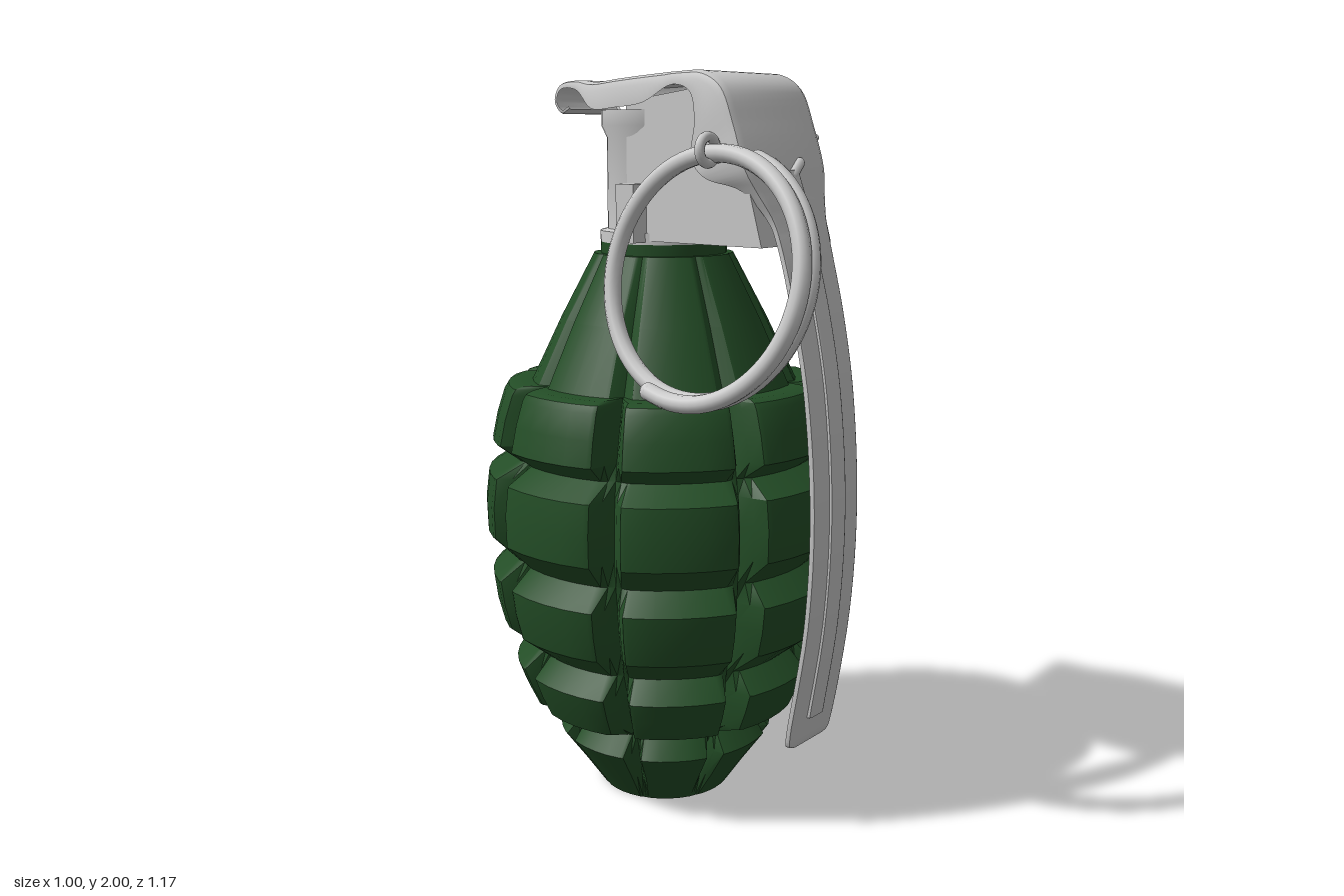
import * as THREE from 'three';
import { toCreasedNormals } from 'three/addons/utils/BufferGeometryUtils.js';

const CZ = -0.083; // z of the body axis
const green = new THREE.MeshStandardMaterial({ color: 0x234d26 });
const grey = new THREE.MeshStandardMaterial({ color: 0xcccccc });
const greySheet = new THREE.MeshStandardMaterial({ color: 0xcccccc, side: THREE.DoubleSide });

// Surface through rows of points, all rows having the same length
function skin(rows, crease) {
  const n = rows[0].length, index = [];
  for (let i = 0; i < rows.length - 1; i++)
    for (let j = 0; j < n - 1; j++) {
      const a = i * n + j, b = a + n;
      index.push(a, b, a + 1, b, b + 1, a + 1);
    }
  const geo = new THREE.BufferGeometry();
  geo.setAttribute('position', new THREE.Float32BufferAttribute(rows.flat(2), 3));
  geo.setIndex(index);
  return toCreasedNormals(geo, crease);
}

// Body: a lathe-like grid whose radius swaps between block and groove
function bodyGeometry() {
  // [y, block radius, groove radius], top to bottom
  const profile = [
    [1.565, 0, 0], [1.565, 0.172, 0.172], [1.535, 0.172, 0.172], [1.535, 0.19, 0.18],
    [1.36, 0.283, 0.262], [1.19, 0.365, 0.335],
    [1.19, 0.41, 0.345], [1.182, 0.432, 0.347], [1.165, 0.443, 0.352], [1.1, 0.464, 0.375], [1.03, 0.479, 0.395],
    [0.985, 0.42, 0.405], [0.94, 0.492, 0.413], [0.86, 0.502, 0.42], [0.775, 0.5, 0.422],
    [0.705, 0.43, 0.415], [0.65, 0.489, 0.405], [0.58, 0.48, 0.395], [0.51, 0.462, 0.378],
    [0.44, 0.375, 0.36], [0.385, 0.428, 0.338], [0.33, 0.408, 0.312], [0.27, 0.38, 0.283],
    [0.225, 0.265, 0.258], [0.17, 0.306, 0.24], [0.085, 0.245, 0.215], [0, 0.187, 0.185], [0, 0, 0]];
  // [angle within a sector, share of block height]
  const sector = [[-22.5, 0], [-20, 0.5], [-17.5, 0.96], [-16, 1], [-8, 1], [0, 1], [8, 1], [16, 1], [17.5, 0.96], [20, 0.5]];
  const ring = [];
  for (let k = 0; k < 8; k++) for (const [a, m] of sector) ring.push([a + k * 45, m]);
  ring.push([337.5, 0]);
  return skin(profile.map(([y, block, groove]) => ring.map(([deg, m]) => {
    const r = groove + (block - groove) * m, t = THREE.MathUtils.degToRad(deg);
    return [r * Math.sin(t), y, r * Math.cos(t)];
  })), 0.5);
}

// Bent sheet with side flanges; stations are [z, y, half width, flange z, flange y]
function bentSheet(stations, steps) {
  const top = new THREE.CatmullRomCurve3(stations.map(([z, y, w]) => new THREE.Vector3(w, y, z)));
  const edge = new THREE.CatmullRomCurve3(stations.map(s => new THREE.Vector3(0, s[4], s[3])));
  const rows = [];
  for (let i = 0; i <= steps; i++) {
    const p = top.getPoint(i / steps), e = edge.getPoint(i / steps), w = p.x;
    const len = Math.max(1e-4, Math.hypot(e.y - p.y, e.z - p.z)), k = Math.min(0.025, len * 0.6);
    const at = (x, d) => [x, p.y + (e.y - p.y) * d / len, p.z + (e.z - p.z) * d / len];
    const half = [[w, len], [w, k], [w - 0.3 * k, 0.3 * k], [w - k, 0]];
    rows.push([...half.map(([x, d]) => at(-x, d)), ...half.reverse().map(([x, d]) => at(x, d))]);
  }
  return skin(rows, 0.7);
}

function tube(points, radius, segments) {
  const path = new THREE.CatmullRomCurve3(points.map(p => new THREE.Vector3(...p)));
  return new THREE.TubeGeometry(path, segments, radius, 10);
}

export function createModel() {
  const model = new THREE.Group();
  const add = (name, geo, mat = grey, x = 0, y = 0, z = 0) => {
    const mesh = new THREE.Mesh(geo, mat);
    mesh.name = name;
    mesh.position.set(x, y, z);
    model.add(mesh);
    return mesh;
  };

  add('body', bodyGeometry(), green, 0, 0, CZ);

  // Neck with collar at the bottom and a small flare at the top
  const neck = [[0, 1.565], [0.172, 1.565], [0.172, 1.595], [0.152, 1.6], [0.152, 1.84], [0.166, 1.87], [0.166, 1.91], [0, 1.91]]
    .map(p => new THREE.Vector2(...p));
  add('neck', toCreasedNormals(new THREE.LatheGeometry(neck, 48), 0.6), grey, 0, 0, CZ);

  // Housing block in front of the neck, under the lever cover
  const side = new THREE.Shape([[-0.08, 1.575], [0.36, 1.575], [0.31, 1.75], [0.26, 1.9], [0.19, 1.965], [-0.08, 1.93]]
    .map(p => new THREE.Vector2(...p)));
  const housing = new THREE.ExtrudeGeometry(side, { depth: 0.304, bevelEnabled: false });
  housing.rotateY(-Math.PI / 2).translate(0.152, 0, 0);
  add('housing', housing);

  // Safety lever: rear curl, cover with flanges, then the long front strip
  const strip = [[0.39, 1.58, 0.11], [0.438, 1.4, 0.107], [0.476, 1.2, 0.104], [0.499, 0.9, 0.102], [0.486, 0.6, 0.101], [0.435, 0.285, 0.1], [0.43, 0.255, 0.092], [0.428, 0.247, 0.075]]
    .map(([z, y, w]) => [z, y, w, z - 0.014, y]);
  add('lever', bentSheet([
    [-0.315, 1.915, 0.12, -0.318, 1.922], [-0.345, 1.902, 0.122, -0.341, 1.912], [-0.37, 1.935, 0.125, -0.358, 1.935],
    [-0.35, 1.978, 0.125, -0.343, 1.966], [-0.29, 1.989, 0.125, -0.288, 1.965], [-0.2, 1.982, 0.158, -0.2, 1.914],
    [-0.1, 1.988, 0.178, -0.1, 1.915], [0, 1.995, 0.18, 0, 1.926], [0.1, 2, 0.18, 0.1, 1.968],
    [0.19, 1.999, 0.18, 0.155, 1.95], [0.25, 1.965, 0.18, 0.17, 1.88], [0.293, 1.87, 0.18, 0.16, 1.79],
    [0.328, 1.765, 0.178, 0.2, 1.742], [0.347, 1.71, 0.155, 0.3, 1.71], [0.371, 1.64, 0.118, 0.355, 1.635],
    ...strip], 132), greySheet);

  // Raised rib down the lever, ending in a small fork
  const rib = [[0.332, 1.76], [0.354, 1.7], [0.376, 1.64], ...strip.slice(0, 5), [0.448, 0.35], [0.444, 0.325]]
    .map(([z, y]) => [z + 0.008, y, 0.034, z - 0.006, y]);
  add('leverRib', bentSheet(rib, 60), greySheet);
  for (const s of [-1, 1]) {
    const fork = add('ribFork', new THREE.CapsuleGeometry(0.014, 0.055, 4, 10), grey, s * 0.034, 1.761, 0.328);
    fork.rotation.set(-0.32, 0, -s * 0.95);
    add('sideLug', new THREE.BoxGeometry(0.055, 0.15, 0.06), grey, s * 0.176, 1.647, -0.043);
  }

  // Cotter pin through the lever cover, its eye, and the two spread tails
  const PY = 1.795, PZ = 0.247;
  add('pin', new THREE.CylinderGeometry(0.018, 0.018, 0.4, 12).rotateZ(Math.PI / 2), grey, 0, PY, PZ);
  const eye = add('pinEye', new THREE.TorusGeometry(0.032, 0.013, 10, 24), grey, -0.222, 1.81, PZ);
  eye.rotation.z = 0.25;
  for (const s of [-1, 1])
    add('pinTail', tube([[0.17, PY + s * 0.006, PZ], [0.195, PY + s * 0.012, PZ], [0.24, PY + s * 0.046, PZ]], 0.01, 10));

  // Pull ring: a tilted coil of about one and a half turns
  const coil = [], start = 0.32, end = Math.PI * 3 + 0.35;
  for (let i = 0; i <= 48; i++) {
    const a = start + (end - start) * i / 48;
    coil.push([-0.232 + 0.065 * Math.cos(a) - 0.006 * a, 1.505 + 0.298 * Math.cos(a), 0.267 + 0.298 * Math.sin(a)]);
  }
  add('pullRing', tube(coil, 0.023, 120));
  for (const [i, r] of [[0, 1], [48, -1]])
    add('ringEnd', new THREE.SphereGeometry(0.023, 12, 8), grey, ...coil[i]);

  return model;
}
